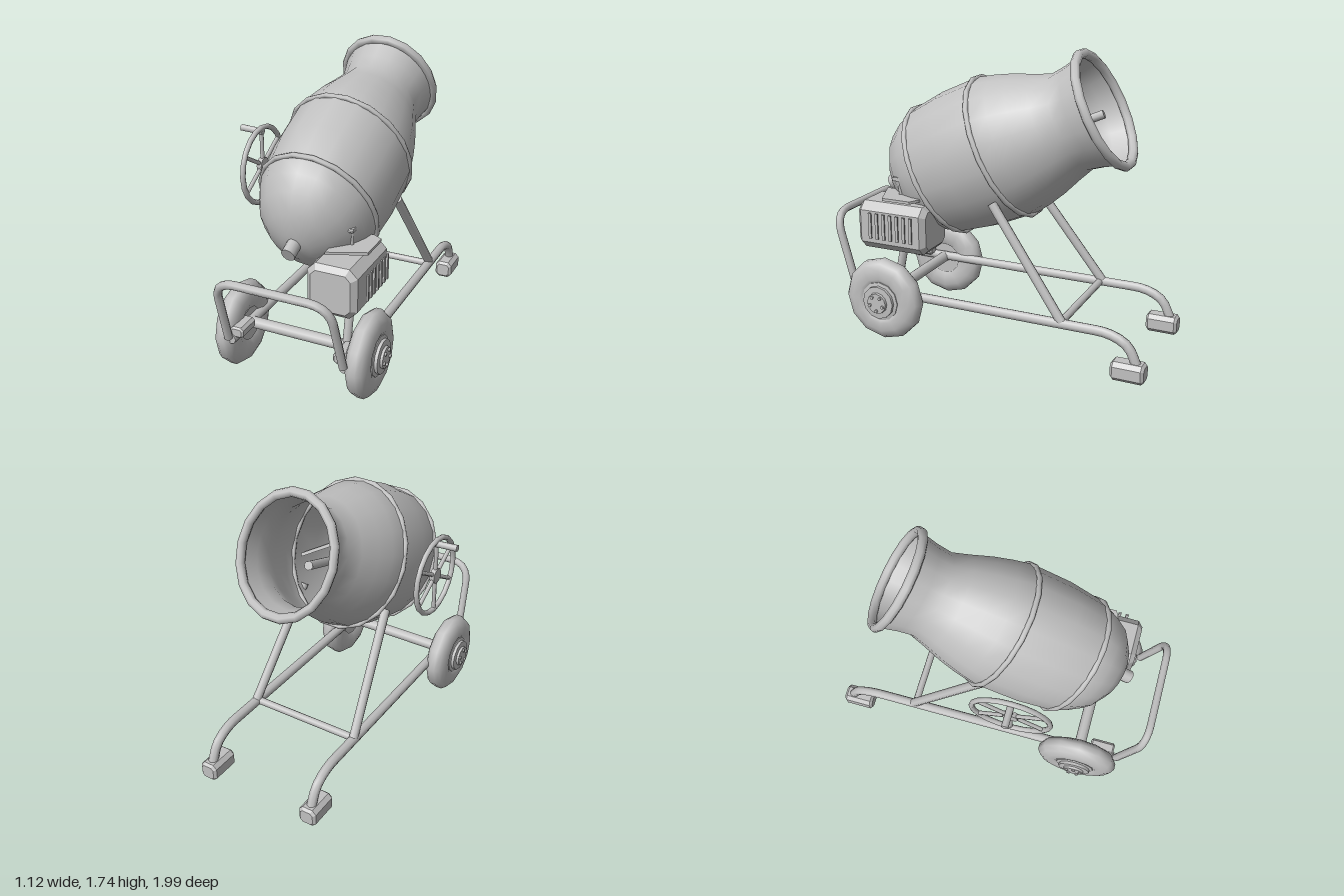
import * as THREE from 'three';

const steel = new THREE.MeshStandardMaterial({ color: 0xc0c0c0, side: THREE.DoubleSide });
steel.name = 'grey steel';

const V = (x, y, z) => new THREE.Vector3(x, y, z);
const CX = 0.05; // the mixer's own centre line

export function createModel() {
  const root = new THREE.Group();
  root.name = 'cementMixer';

  const add = (name, geo, x = 0, y = 0, z = 0, parent = root) => {
    const m = new THREE.Mesh(geo, steel);
    m.name = name;
    m.position.set(x, y, z);
    parent.add(m);
    return m;
  };
  // Straight round bar between two points
  const bar = (name, a, b, r, parent = root, sides = 8) => {
    const m = add(name, new THREE.CylinderGeometry(r, r, a.distanceTo(b), sides), 0, 0, 0, parent);
    m.position.copy(a).lerp(b, 0.5);
    m.quaternion.setFromUnitVectors(V(0, 1, 0), b.clone().sub(a).normalize());
    return m;
  };
  // Bent pipe through points, with rounded corners
  const pipe = (name, pts, r, corner, parent = root) => {
    const path = new THREE.CurvePath();
    let last = pts[0];
    for (let i = 1; i < pts.length - 1; i++) {
      const p = pts[i];
      const before = p.clone().add(pts[i - 1].clone().sub(p).setLength(corner));
      const after = p.clone().add(pts[i + 1].clone().sub(p).setLength(corner));
      path.add(new THREE.LineCurve3(last, before));
      path.add(new THREE.QuadraticBezierCurve3(before, p, after));
      last = after;
    }
    path.add(new THREE.LineCurve3(last, pts[pts.length - 1]));
    const m = add(name, new THREE.TubeGeometry(path, 40, r, 8), 0, 0, 0, parent);
    const ends = [pts[0], pts[pts.length - 1]];
    const next = [pts[1], pts[pts.length - 2]];
    ends.forEach((e, i) => {
      const cap = add(name + 'End', new THREE.CircleGeometry(r, 8), e.x, e.y, e.z, parent);
      cap.quaternion.setFromUnitVectors(V(0, 0, 1), e.clone().sub(next[i]).normalize());
    });
    return m;
  };
  // Box with chamfered edges
  const chamferBox = (w, h, d, c) => {
    const s = new THREE.Shape();
    const a = w / 2 - c, b = h / 2 - c;
    [[-a, -b + c], [-a + c, -b], [a - c, -b], [a, -b + c], [a, b - c], [a - c, b], [-a + c, b], [-a, b - c]]
      .forEach(([x, y], i) => (i ? s.lineTo(x, y) : s.moveTo(x, y)));
    const g = new THREE.ExtrudeGeometry(s, { depth: d - 2 * c, bevelEnabled: true, bevelSize: c, bevelThickness: c, bevelSegments: 1 });
    return g.translate(0, 0, -(d - 2 * c) / 2);
  };

  // Tilted drum: the local y axis runs from the closed end to the mouth
  const drum = new THREE.Group();
  drum.name = 'drum';
  root.add(drum);
  const tilt = new THREE.Matrix4()
    .makeBasis(V(0.86, 0, 0), V(0, 0.402, -0.916), V(0, 0.897, 0.441))
    .setPosition(CX, 1.158, -0.02);
  const drumPart = (name, geo) => add(name, geo.applyMatrix4(tilt), 0, 0, 0, drum);

  const profile = [[0, -0.775], [0.1, -0.765], [0.215, -0.715], [0.31, -0.64], [0.365, -0.55], [0.402, -0.455],
    [0.428, -0.25], [0.43, 0], [0.405, 0.11], [0.372, 0.22], [0.325, 0.34], [0.29, 0.44], [0.302, 0.53], [0.33, 0.645]];
  drumPart('drumShell', new THREE.LatheGeometry(profile.map(([r, t]) => new THREE.Vector2(r, t)), 18));
  for (const [name, r, t, tube] of [['lowerBand', 0.402, -0.457, 0.016], ['middleBand', 0.43, 0, 0.016], ['mouthRim', 0.333, 0.645, 0.028]]) {
    drumPart(name, new THREE.TorusGeometry(r, tube, 8, 18).rotateX(Math.PI / 2).translate(0, t, 0));
  }
  drumPart('drumStub', new THREE.CylinderGeometry(0.045, 0.045, 0.12, 12).translate(0, -0.785, 0.03));

  // Mixing blades inside
  pipe('mixingArm', [V(0.05, 0.86, 0.66), V(0.05, 1.13, 0), V(-0.06, 1.37, -0.57)], 0.025, 0.15, drum);
  for (const side of [-1, 1]) {
    const blade = new THREE.BoxGeometry(0.26, 0.12, 0.02).rotateY(side * 0.5).rotateZ(side * 0.4);
    drumPart('mixingBlade', blade.translate(side * 0.17, side * 0.09 - 0.05, 0));
  }

  // Side rails, struts and feet
  for (const side of [-1, 1]) {
    const x = CX + side * 0.345;
    const s = side < 0 ? 'right' : 'left';
    pipe(s + 'Rail', [V(x, 0.27, 0.82), V(x, 0.27, -0.78), V(x, 0.22, -0.9), V(x, 0.1, -0.95)], 0.029, 0.06);
    add(s + 'Foot', chamferBox(0.11, 0.11, 0.19, 0.015), x, 0.068, -0.905);
    bar(s + 'Strut', V(x, 0.28, -0.51), V(CX + side * 0.285, 0.89, -0.06), 0.028);
    add(s + 'RailBlock', chamferBox(0.08, 0.065, 0.15, 0.01), CX + side * 0.315, 0.312, 0.735);
  }
  bar('rearCrossBar', V(CX - 0.345, 0.27, -0.5), V(CX + 0.345, 0.27, -0.5), 0.022);
  bar('axle', V(CX - 0.4, 0.262, 0.595), V(CX + 0.4, 0.262, 0.595), 0.035, root, 10);

  // Tow handle
  const hx = 0.35;
  pipe('towHandle', [V(CX - hx, 0.29, 0.835), V(CX - hx + 0.015, 0.715, 0.965),
    V(CX + hx - 0.015, 0.715, 0.965), V(CX + hx, 0.29, 0.835)], 0.024, 0.13);

  // Wheels, turned so that the hub faces outwards
  const tyre = [[0.1, -0.05], [0.14, -0.066], [0.19, -0.064], [0.23, -0.046], [0.25, -0.018],
    [0.25, 0.018], [0.23, 0.046], [0.19, 0.064], [0.14, 0.066], [0.12, 0.056]];
  const hub = [[0, -0.04], [0.12, -0.04], [0.12, 0.062], [0.1, 0.066], [0.1, 0.084], [0.065, 0.086], [0.062, 0.1], [0, 0.1]];
  for (const side of [-1, 1]) {
    const wheel = new THREE.Group();
    wheel.name = side < 0 ? 'rightWheel' : 'leftWheel';
    wheel.position.set(CX + side * 0.4, 0.25, 0.595);
    wheel.rotation.z = -side * Math.PI / 2;
    root.add(wheel);
    add('tyre', new THREE.LatheGeometry(tyre.map(([r, t]) => new THREE.Vector2(r, t)), 12), 0, 0, 0, wheel);
    for (let i = 1; i < hub.length; i++) {
      const pair = [hub[i - 1], hub[i]].map(([r, t]) => new THREE.Vector2(r, t));
      add('hub', new THREE.LatheGeometry(pair, 12), 0, 0, 0, wheel);
    }
    for (let i = 0; i < 5; i++) {
      const a = i * Math.PI * 2 / 5;
      add('wheelBolt', new THREE.CylinderGeometry(0.01, 0.01, 0.02, 6), 0.045 * Math.cos(a), 0.1, 0.045 * Math.sin(a), wheel);
    }
  }

  // Motor housing with grille and starter on top
  const motor = new THREE.Group();
  motor.name = 'motor';
  root.add(motor);
  add('motorHousing', chamferBox(0.29, 0.29, 0.45, 0.03), 0.297, 0.683, 0.552, motor);
  for (let i = 0; i < 7; i++) {
    add('grilleBar', new THREE.BoxGeometry(0.009, 0.155, 0.018), 0.465, 0.698, 0.4 + i * 0.045, motor);
  }
  const lid = new THREE.Shape([[0.225, 0.69], [0.435, 0.6], [0.435, 0.42], [0.38, 0.39], [0.225, 0.39]]
    .map(([x, z]) => new THREE.Vector2(x, -z)));
  add('motorLid', new THREE.ExtrudeGeometry(lid, { depth: 0.016, bevelEnabled: false }).rotateX(-Math.PI / 2), 0, 0.85, 0, motor);
  add('lidSpacer', new THREE.CylinderGeometry(0.04, 0.04, 0.05, 10), 0.32, 0.835, 0.54, motor);
  bar('leverStem', V(0.315, 0.85, 0.54), V(0.32, 0.96, 0.55), 0.012, motor);
  add('leverKnob', chamferBox(0.045, 0.022, 0.075, 0.006), 0.327, 0.96, 0.55, motor);
  bar('motorPost', V(0.31, 0.26, 0.595), V(0.31, 0.56, 0.53), 0.026);

  // Tilting hand wheel with spokes and grip
  const handWheel = new THREE.Group();
  handWheel.name = 'handWheel';
  handWheel.position.set(-0.428, 1.062, 0.17);
  root.add(handWheel);
  add('handWheelRim', new THREE.TorusGeometry(0.228, 0.016, 8, 20).rotateY(Math.PI / 2), 0, 0, 0, handWheel);
  bar('handWheelHub', V(-0.015, 0, 0), V(0.015, 0, 0), 0.045, handWheel, 12);
  for (let i = 0; i < 6; i++) {
    const a = i * Math.PI / 3 + Math.PI / 2;
    bar('spoke', V(0, 0, 0), V(0, 0.225 * Math.sin(a), 0.225 * Math.cos(a)), 0.012, handWheel, 6);
  }
  bar('handGrip', V(0.012, 0.205, 0), V(-0.13, 0.212, 0), 0.02, handWheel);

  return root;
}
